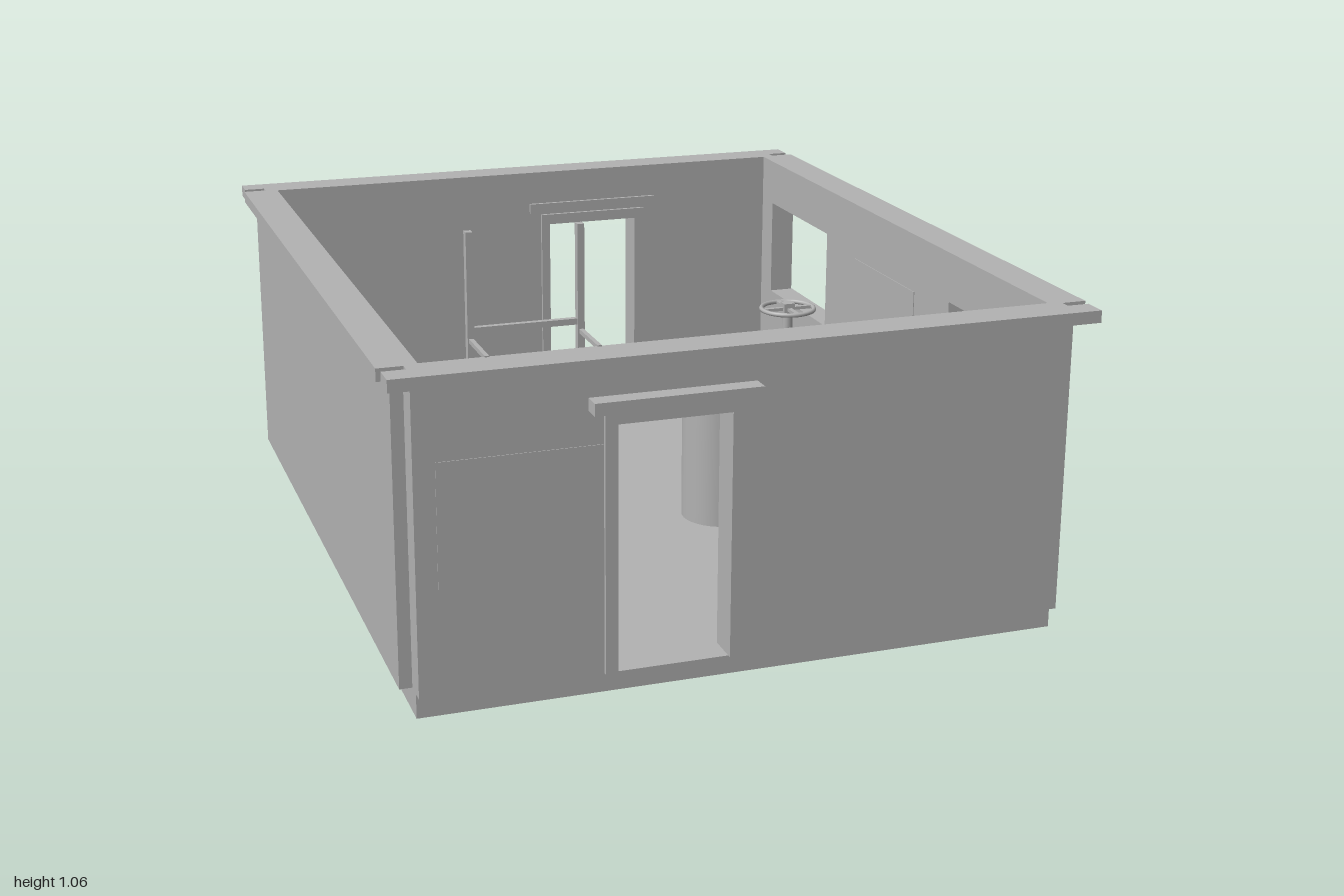
import * as THREE from 'three';

const concrete = new THREE.MeshStandardMaterial({ color: 0xb2b2b2 });
concrete.name = 'concrete grey';

function add(parent, name, geometry) {
  const mesh = new THREE.Mesh(geometry, concrete);
  mesh.name = name;
  parent.add(mesh);
  return mesh;
}

// Box given by its lower and upper limits on each axis
function box(parent, name, x0, x1, y0, y1, z0, z1) {
  const mesh = add(parent, name, new THREE.BoxGeometry(x1 - x0, y1 - y0, z1 - z0));
  mesh.position.set((x0 + x1) / 2, (y0 + y1) / 2, (z0 + z1) / 2);
  return mesh;
}

function rod(parent, name, radius, height, x, y, z, sides = 24) {
  const mesh = add(parent, name, new THREE.CylinderGeometry(radius, radius, height, sides));
  mesh.position.set(x, y, z);
  return mesh;
}

function rectangle(Type, [x0, x1, y0, y1]) {
  const path = new Type();
  path.moveTo(x0, y0);
  path.lineTo(x1, y0);
  path.lineTo(x1, y1);
  path.lineTo(x0, y1);
  path.closePath();
  return path;
}

// Upright slab with rectangular openings, facing +z
function slab(parent, name, outline, openings, z0, z1) {
  const shape = rectangle(THREE.Shape, outline);
  openings.forEach((o) => shape.holes.push(rectangle(THREE.Path, o)));
  const geometry = new THREE.ExtrudeGeometry(shape, { depth: z1 - z0, bevelEnabled: false });
  geometry.translate(0, 0, z0);
  return add(parent, name, geometry);
}

// One side of the building: core wall, outer cladding and cornice
function facade(parent, name, angle, half, cladHalf, corniceHalf, inner, core, openings) {
  const side = new THREE.Group();
  side.name = name;
  side.rotation.y = angle;
  parent.add(side);
  slab(side, 'coreWall', [-half, half, 0, 0.815], openings, inner, core);
  slab(side, 'cladding', [-cladHalf, cladHalf, 0.06, 0.786], openings, core, core + 0.03);
  box(side, 'cornice', -corniceHalf, corniceHalf, 0.785, 0.815, core, core + 0.061);
  return side;
}

function doorway(side) {
  box(side, 'doorJamb', -0.36, -0.33, 0.06, 0.685, 0.88, 0.965);
  box(side, 'doorJamb', -0.06, -0.035, 0.06, 0.685, 0.88, 0.965);
  box(side, 'doorHead', -0.33, -0.06, 0.655, 0.685, 0.88, 0.965);
  box(side, 'doorLintel', -0.395, 0, 0.69, 0.72, 0.88, 1.0);
  box(side, 'wallPanel', -0.74, -0.362, 0.31, 0.61, 0.954, 0.957);
}

function buildPumps(parent) {
  const pumps = new THREE.Group();
  pumps.name = 'pumpSet';
  parent.add(pumps);
  const z = 0.1;
  for (const x of [0.245, 0.615]) {
    rod(pumps, 'tank', 0.105, 0.34, x, 0.22, z, 32);
    rod(pumps, 'flange', 0.125, 0.03, x, 0.4, z, 32);
    for (let i = 0; i < 8; i++) {
      const a = (i / 8) * Math.PI * 2;
      rod(pumps, 'bolt', 0.01, 0.015, x + 0.09 * Math.cos(a), 0.422, z + 0.09 * Math.sin(a), 8);
    }
    rod(pumps, 'risingPipe', 0.03, 0.14, x, 0.48, z, 16);
  }
  rod(pumps, 'crossPipe', 0.025, 0.37, 0.43, 0.52, z, 16).rotation.z = Math.PI / 2;
  // Valve with handwheel on top of the cross pipe
  rod(pumps, 'valveStem', 0.014, 0.12, 0.43, 0.575, z, 12);
  const wheel = add(pumps, 'handwheel', new THREE.TorusGeometry(0.07, 0.006, 8, 32));
  wheel.rotation.x = Math.PI / 2;
  wheel.position.set(0.43, 0.62, z);
  box(pumps, 'wheelSpoke', 0.36, 0.5, 0.616, 0.624, z - 0.006, z + 0.006);
  box(pumps, 'wheelSpoke', 0.424, 0.436, 0.616, 0.624, z - 0.07, z + 0.07);
  box(pumps, 'wheelNut', 0.415, 0.445, 0.61, 0.636, z - 0.015, z + 0.015);
}

function buildLadder(parent) {
  const ladder = new THREE.Group();
  ladder.name = 'ladder';
  parent.add(ladder);
  for (const x of [-0.605, -0.35]) {
    box(ladder, 'ladderRail', x - 0.008, x + 0.008, 0.06, 1.06, 0.74, 0.76);
    box(ladder, 'ladderBracket', x - 0.005, x + 0.005, 0.808, 0.818, 0.76, 0.895);
  }
  for (let y = 0.835; y > 0.1; y -= 0.11) {
    box(ladder, 'ladderRung', -0.605, -0.35, y - 0.007, y + 0.007, 0.743, 0.757);
  }
}

export function createModel() {
  const model = new THREE.Group();
  model.name = 'pumpHouse';
  const door = [-0.345, -0.048, 0.06, 0.67];
  const windows = [[-0.81, -0.39, 0.405, 0.685], [0.39, 0.81, 0.405, 0.685]];

  // Long ends with a doorway each
  const front = facade(model, 'frontWall', 0, 0.79, 0.79, 0.845, 0.89, 0.925, [door]);
  const back = facade(model, 'backWall', Math.PI, 0.79, 0.79, 0.845, 0.89, 0.925, [door]);
  doorway(front);
  doorway(back);
  box(back, 'serviceHatch', 0.51, 0.56, 0.31, 0.53, 0.954, 0.958);

  // Sides: windows on the right, plain on the left
  const right = facade(model, 'rightWall', Math.PI / 2, 0.89, 0.89, 0.9, 0.757, 0.79, windows);
  const left = facade(model, 'leftWall', -Math.PI / 2, 0.89, 0.89, 0.9, 0.757, 0.79, []);
  for (const [x0, x1, y0, y1] of windows) {
    slab(right, 'windowFrame', [x0 - 0.006, x1 + 0.006, y0, y1 + 0.006], [[x0, x1, y0 + 0.001, y1]], 0.815, 0.826);
    box(right, 'windowSill', x0 - 0.01, x1 + 0.01, 0.39, 0.406, 0.757, 0.828);
  }
  box(right, 'wallPanel', -0.19, 0.19, 0.27, 0.62, 0.819, 0.821);
  box(right, 'innerPanel', -0.19, 0.19, 0.31, 0.66, 0.755, 0.758);
  box(left, 'innerPanel', -0.19, 0.19, 0.31, 0.66, 0.755, 0.758);

  // Floor and the footing frame beneath the pumps
  box(model, 'floor', -0.757, 0.757, 0.05, 0.06, -0.89, 0.89);
  box(model, 'footing', 0.08, 0.1, 0, 0.05, -0.14, 0.32);
  box(model, 'footing', 0.1, 0.757, 0, 0.05, -0.14, -0.12);
  box(model, 'footing', 0.1, 0.757, 0, 0.05, 0.3, 0.32);

  buildPumps(model);
  buildLadder(model);
  return model;
}
